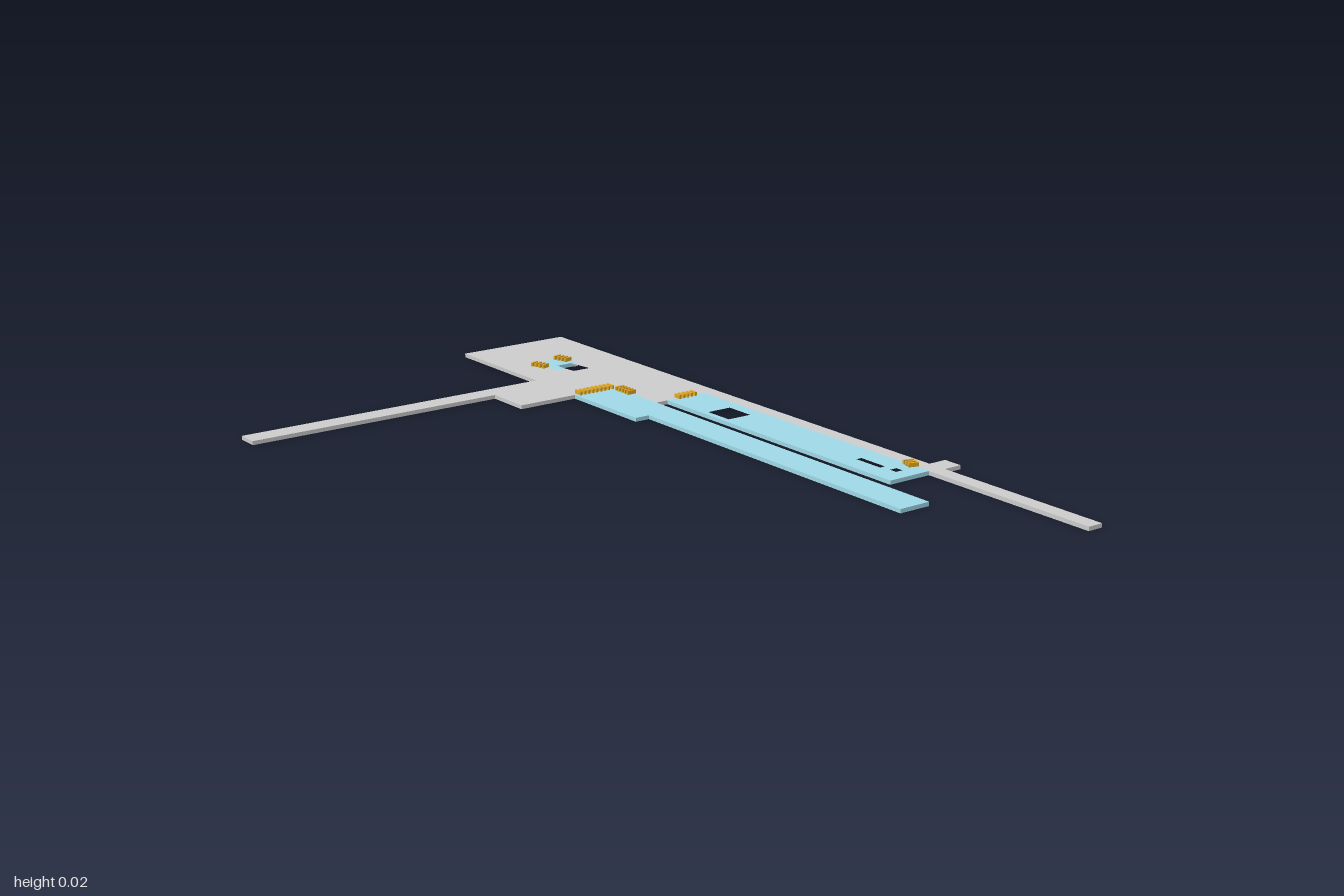
import * as THREE from 'three';

const T = 0.01; // slab thickness

export function createModel() {
  const model = new THREE.Group();
  const grey = new THREE.MeshStandardMaterial({ color: 0xcccccc });
  const blue = new THREE.MeshStandardMaterial({ color: 0x9fd8e6 });
  const gold = new THREE.MeshStandardMaterial({ color: 0xe0a828 });

  const rect = (x0, z0, x1, z1) => [[x0, z0], [x1, z0], [x1, z1], [x0, z1]];
  const points = (list) => list.map(([x, z]) => new THREE.Vector2(x, -z));

  // Flat slab from a plan outline in x, z
  function slab(name, outline, material, holes = []) {
    const shape = new THREE.Shape(points(outline));
    holes.forEach((h) => shape.holes.push(new THREE.Path(points(h))));
    const geometry = new THREE.ExtrudeGeometry(shape, { depth: T, bevelEnabled: false });
    geometry.rotateX(-Math.PI / 2);
    const mesh = new THREE.Mesh(geometry, material);
    mesh.name = name;
    model.add(mesh);
  }

  // Row of thin raised bars, spaced along local x and long in local z
  function ridges(name, x, z, count, length, angle = 0) {
    const row = new THREE.Group();
    row.name = name;
    const bar = new THREE.BoxGeometry(0.006, 0.01, length);
    for (let i = 0; i < count; i++) {
      const mesh = new THREE.Mesh(bar, gold);
      mesh.name = 'ridge';
      mesh.position.x = (i - (count - 1) / 2) * 0.0125;
      row.add(mesh);
    }
    row.position.set(x, T + 0.005, z);
    row.rotation.y = angle;
    model.add(row);
  }

  // Main deck with the long side arm, the front strip and its tab
  slab('mainDeck', [
    [0.24, -1], [0.56, -1], [0.56, 0.48], [0.61, 0.48], [0.61, 0.53], [0.56, 0.53],
    [0.56, 1], [0.52, 1], [0.52, -0.3], [0.365, -0.3], [0.365, -0.48], [0.075, -0.48],
    [0.075, -0.6], [-0.615, -0.6], [-0.615, -0.655], [0.24, -0.655],
  ], grey, [[
    [0.335, -0.775], [0.355, -0.805], [0.42, -0.805], [0.435, -0.74], [0.415, -0.745],
    [0.425, -0.675], [0.375, -0.675], [0.37, -0.71], [0.345, -0.7],
  ]]);

  // Coloured surround at the opening in the deck
  slab('openingSurround', [
    [0.335, -0.775], [0.355, -0.805], [0.42, -0.805], [0.435, -0.74],
    [0.415, -0.745], [0.37, -0.745], [0.37, -0.71], [0.345, -0.7],
  ], blue);

  // Two long walkways
  slab('outerWalkway', [
    [0.24, -0.48], [0.365, -0.48], [0.365, 0.68], [0.28, 0.68], [0.28, -0.22], [0.24, -0.22],
  ], blue);
  slab('innerWalkway', rect(0.4, -0.3, 0.52, 0.52), blue, [
    rect(0.417, -0.155, 0.485, -0.075),
    rect(0.448, 0.355, 0.463, 0.435),
    rect(0.455, 0.46, 0.475, 0.48),
  ]);

  // Ridged steps where the levels meet
  ridges('outerWalkwaySteps', 0.302, -0.48, 9, 0.026);
  ridges('deckSideSteps', 0.363, -0.428, 5, 0.026, Math.PI / 2);
  ridges('innerWalkwaySteps', 0.46, -0.302, 5, 0.022);
  ridges('stripSteps', 0.518, 0.462, 3, 0.026, Math.PI / 2 - 0.3);
  ridges('openingRightSteps', 0.328, -0.766, 4, 0.024, Math.PI / 2 + 0.3);
  ridges('openingLeftSteps', 0.416, -0.787, 4, 0.024, Math.PI / 2 + 0.25);

  return model;
}
